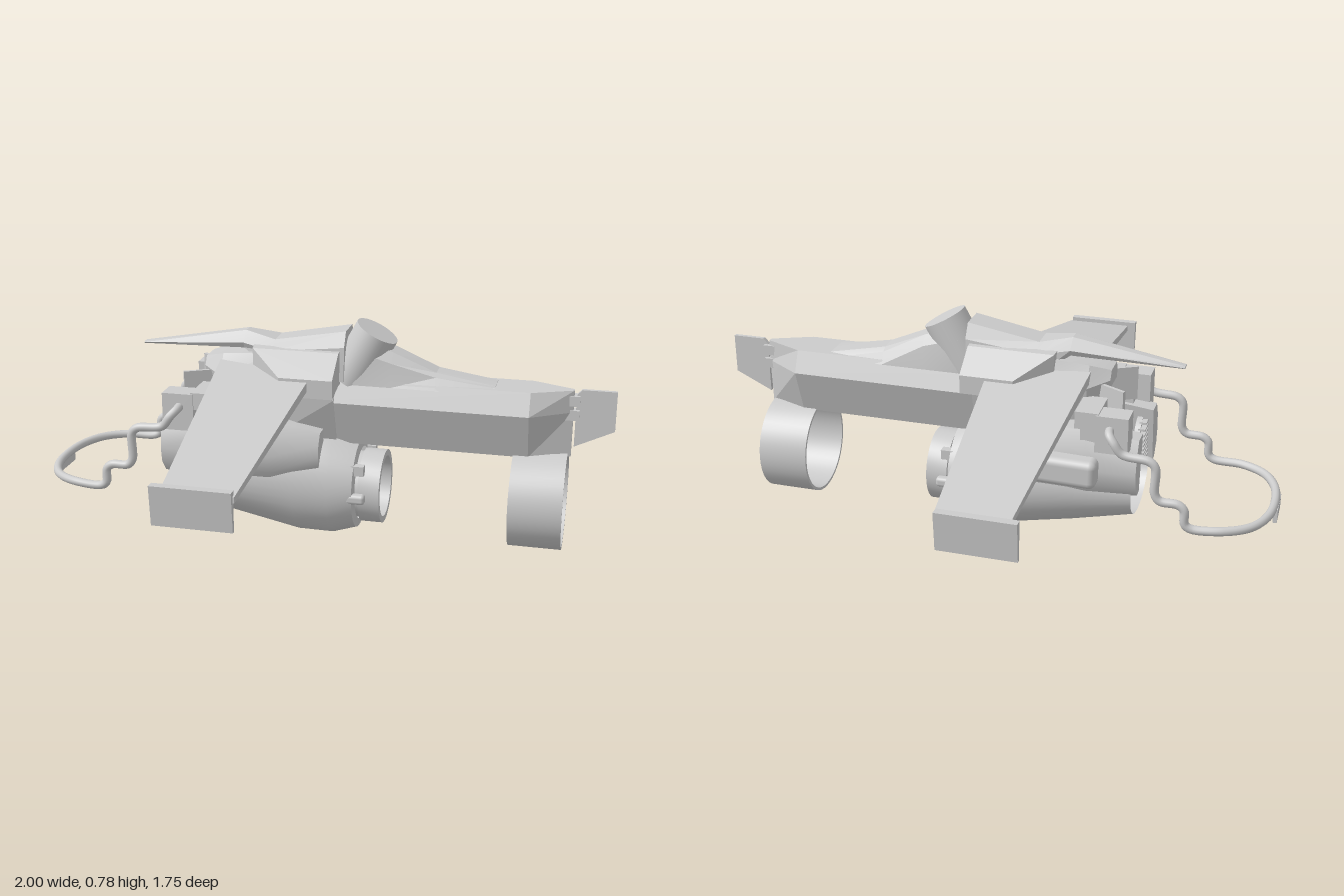
import * as THREE from 'three';
import { toCreasedNormals } from 'three/addons/utils/BufferGeometryUtils.js';
import { RoundedBoxGeometry } from 'three/addons/geometries/RoundedBoxGeometry.js';

const grey = new THREE.MeshStandardMaterial({ color: 0xcccccc, side: THREE.DoubleSide });

function add(parent, name, geometry, x = 0, y = 0, z = 0) {
  const mesh = new THREE.Mesh(geometry, grey);
  mesh.name = name;
  mesh.position.set(x, y, z);
  parent.add(mesh);
  return mesh;
}

const box = (parent, name, sx, sy, sz, x, y, z) =>
  add(parent, name, new THREE.BoxGeometry(sx, sy, sz), x, y, z);

// Skin a list of equal-length closed rings of [x, y, z]
function loft(rings, { caps = true, crease = 0.2 } = {}) {
  const pos = [];
  const tri = (...pts) => pts.forEach((p) => pos.push(...p));
  const n = rings[0].length;
  for (let i = 0; i < rings.length - 1; i++) {
    for (let j = 0; j < n; j++) {
      const k = (j + 1) % n, a = rings[i], b = rings[i + 1];
      tri(a[j], a[k], b[j]);
      tri(a[k], b[k], b[j]);
    }
  }
  if (caps) {
    const a = rings[0], b = rings[rings.length - 1];
    for (let j = 1; j < n - 1; j++) {
      tri(a[0], a[j + 1], a[j]);
      tri(b[0], b[j], b[j + 1]);
    }
  }
  const g = new THREE.BufferGeometry();
  g.setAttribute('position', new THREE.Float32BufferAttribute(pos, 3));
  return toCreasedNormals(g, crease);
}

// Symmetric ring at x, from [y, z] half-section points listed top to bottom
const hull = (x, ...half) => [
  ...half.map(([y, z]) => [x, y, z]),
  ...half.slice().reverse().map(([y, z]) => [x, y, -z]),
];

// Rectangular ring at z
const rect = (z, x0, x1, y0, y1) => [[x0, y0, z], [x1, y0, z], [x1, y1, z], [x0, y1, z]];

// Ring at x between two heights, with half width rz
function oval(x, y0, y1, rz, n = 40) {
  return Array.from({ length: n }, (_, i) => {
    const t = (i / n) * Math.PI * 2;
    return [x, (y0 + y1) / 2 + Math.cos(t) * (y1 - y0) / 2, Math.sin(t) * rz];
  });
}

// Lathe around the x axis from [x, radius] points
function turned(points) {
  const g = new THREE.LatheGeometry(points.map(([x, r]) => new THREE.Vector2(r, x)), 40);
  g.rotateZ(-Math.PI / 2);
  return toCreasedNormals(g, 0.5);
}

function buildFuselage(g) {
  // Faceted boom with a pointed front
  const boom = (x, w) => hull(x, [0.585, 0.07 * w], [0.51, 0.105 * w], [0.35, 0.05 * w]);
  add(g, 'boom', loft([boom(-0.05, 1), boom(0.72, 1), boom(0.86, 0.12)]));
  add(g, 'rearBody', loft([
    hull(-0.41, [0.63, 0.04], [0.6, 0.06], [0.57, 0.05]),
    hull(-0.34, [0.65, 0.07], [0.58, 0.11], [0.47, 0.09]),
    hull(-0.15, [0.67, 0.09], [0.56, 0.13], [0.38, 0.12]),
    hull(0.06, [0.62, 0.08], [0.52, 0.11], [0.35, 0.06]),
  ]));
  // Long pointed dorsal fairing
  add(g, 'dorsalFairing', loft([
    hull(-0.65, [0.659, 0.008], [0.656, 0.02], [0.652, 0.015]),
    hull(-0.27, [0.725, 0.02], [0.69, 0.06], [0.67, 0.05]),
    hull(-0.16, [0.705, 0.045], [0.675, 0.09], [0.6, 0.1]),
    hull(0.09, [0.75, 0.05], [0.7, 0.08], [0.58, 0.085]),
  ]));
  add(g, 'frontSpine', loft([
    hull(0.12, [0.73, 0.045], [0.69, 0.07], [0.57, 0.078]),
    hull(0.25, [0.685, 0.04], [0.65, 0.062], [0.57, 0.078]),
    hull(0.4, [0.622, 0.035], [0.61, 0.055], [0.57, 0.078]),
    hull(0.6, [0.587, 0.03], [0.586, 0.05], [0.57, 0.07]),
  ]));
  // Slanted round column
  const column = add(g, 'column', new THREE.CylinderGeometry(0.077, 0.08, 0.2, 32), 0.142, 0.657, 0);
  column.rotation.z = -0.49;
  // Rudder and its hinges
  const s = new THREE.Shape([[0.868, 0.57], [0.885, 0.588], [1, 0.588], [1, 0.45], [0.868, 0.387]]
    .map(([x, y]) => new THREE.Vector2(x, y)));
  add(g, 'rudder', new THREE.ExtrudeGeometry(s, { depth: 0.014, bevelEnabled: false }), 0, 0, -0.007);
  for (const y of [0.5, 0.55]) box(g, 'rudderHinge', 0.05, 0.035, 0.04, 0.855, y, 0);
}

function buildEngine(g) {
  add(g, 'engineShell', loft([
    oval(-0.515, 0.11, 0.34, 0.165), oval(-0.3, 0.055, 0.4, 0.185), oval(-0.07, 0.004, 0.41, 0.185),
    oval(0.05, 0.003, 0.38, 0.178), oval(0.135, 0.03, 0.348, 0.16), oval(0.14, 0.06, 0.318, 0.128),
  ], { caps: false, crease: 0.5 }));
  add(g, 'rearBulkhead', loft([oval(-0.3, 0.06, 0.395, 0.18), oval(-0.29, 0.06, 0.395, 0.18)]));
  add(g, 'engineCollar', turned([
    [-0.05, 0.108], [0.225, 0.108], [0.225, 0.13], [0.15, 0.13], [0.15, 0.118], [0.1, 0.118],
  ]), 0, 0.182, 0);
  add(g, 'engineHub', turned([[0.03, 0.11], [0.04, 0.1], [0.06, 0.04], [0.09, 0.001]]), 0, 0.182, 0);
  for (let i = 0; i < 4; i++) {
    const vane = box(g, 'engineVane', 0.09, 0.215, 0.006, 0.11, 0.182, 0);
    vane.rotation.x = (i * Math.PI) / 4;
  }
  // Thin open hoop under the front of the boom
  add(g, 'frontHoop', turned([
    [0.67, 0.173], [0.85, 0.173], [0.85, 0.163], [0.67, 0.163], [0.67, 0.173],
  ]), 0, 0.19, 0);
}

// Everything on the +z side; the other side is mirrored
function buildSide(g) {
  add(g, 'wing', loft([
    rect(0.04, -0.35, 0.0, 0.605, 0.64),
    rect(0.86, -0.29, -0.06, 0.435, 0.455),
  ]));
  add(g, 'wingTipPlate', loft([
    [[-0.32, 0.342, 0.855], [-0.065, 0.342, 0.855], [-0.065, 0.472, 0.848], [-0.32, 0.472, 0.848]],
    [[-0.32, 0.342, 0.865], [-0.065, 0.342, 0.865], [-0.065, 0.472, 0.876], [-0.32, 0.472, 0.876]],
  ]));
  add(g, 'wingShoulder', loft([
    rect(0.05, -0.23, 0.075, 0.57, 0.69),
    rect(0.1, -0.225, 0.075, 0.57, 0.685),
    rect(0.195, -0.11, 0.075, 0.55, 0.615),
  ]));
  // Curved side shell, fading into the engine
  const shell = (x, w, h) => [
    [0.13, 0.1], [0.13, 0.17], [0.07, 0.2], [0, 0.21], [-0.06, 0.2], [-0.11, 0.165], [-0.11, 0.13],
  ].map(([y, z]) => [x, 0.33 + y * h, z * w]);
  add(g, 'sideShell', loft(
    [shell(-0.535, 0.96, 0.85), shell(-0.36, 1, 1), shell(-0.15, 0.98, 1), shell(0.02, 0.8, 0.6)],
    { crease: 0.6 }));
  const pod = add(g, 'sidePod', new RoundedBoxGeometry(0.23, 0.1, 0.1, 3, 0.025), -0.295, 0.332, 0.21);
  pod.rotation.z = 0.02;
  // Control blocks at the back
  box(g, 'rearBlock', 0.11, 0.13, 0.08, -0.455, 0.48, 0.195);
  box(g, 'innerBlock', 0.12, 0.09, 0.07, -0.4, 0.47, 0.15);
  box(g, 'blockArm', 0.08, 0.06, 0.14, -0.37, 0.52, 0.16);
  const flap = box(g, 'rearFlap', 0.16, 0.12, 0.012, -0.4, 0.53, 0.08);
  flap.rotation.y = 0.5;
  // Slatted round grille
  add(g, 'grillePlate', new THREE.CylinderGeometry(0.08, 0.08, 0.02, 24).rotateZ(Math.PI / 2), -0.49, 0.33, 0.11);
  for (let i = -4; i <= 4; i++) {
    const y = i * 0.017;
    box(g, 'grilleSlat', 0.025, 0.008, 2 * Math.sqrt(0.0064 - y * y), -0.505, 0.33 + y, 0.11);
  }
  // Clip joining shell and collar
  add(g, 'collarClip', new RoundedBoxGeometry(0.085, 0.035, 0.035, 2, 0.012), 0.138, 0.182, 0.145);
  box(g, 'upperClip', 0.09, 0.035, 0.03, 0.125, 0.275, 0.11);
}

function buildHandle(g) {
  const half = [
    [-0.45, 0.5, 0.2], [-0.452, 0.495, 0.255], [-0.47, 0.475, 0.272], [-0.5, 0.438, 0.272],
    [-0.59, 0.425, 0.272], [-0.61, 0.405, 0.272], [-0.613, 0.31, 0.272], [-0.63, 0.288, 0.272],
    [-0.69, 0.282, 0.27], [-0.71, 0.265, 0.27], [-0.715, 0.215, 0.27], [-0.735, 0.2, 0.268],
    [-0.84, 0.2, 0.255], [-0.92, 0.2, 0.205], [-0.965, 0.2, 0.12],
  ];
  const path = [...half, [-0.98, 0.2, 0], ...half.slice().reverse().map(([x, y, z]) => [x, y, -z])]
    .map((p) => new THREE.Vector3(...p));
  const curve = new THREE.CatmullRomCurve3(path, false, 'centripetal');
  add(g, 'handleTube', new THREE.TubeGeometry(curve, 240, 0.015, 12));
  box(g, 'handlePlate', 0.014, 0.05, 0.12, -0.988, 0.177, 0);
}

export function createModel() {
  const model = new THREE.Group();
  model.name = 'aircraft';
  const part = (name, build) => {
    const g = new THREE.Group();
    g.name = name;
    build(g);
    model.add(g);
    return g;
  };
  part('fuselage', buildFuselage);
  part('engine', buildEngine);
  part('leftHandSide', buildSide);
  part('rightHandSide', buildSide).scale.z = -1;
  part('handle', buildHandle);
  return model;
}
